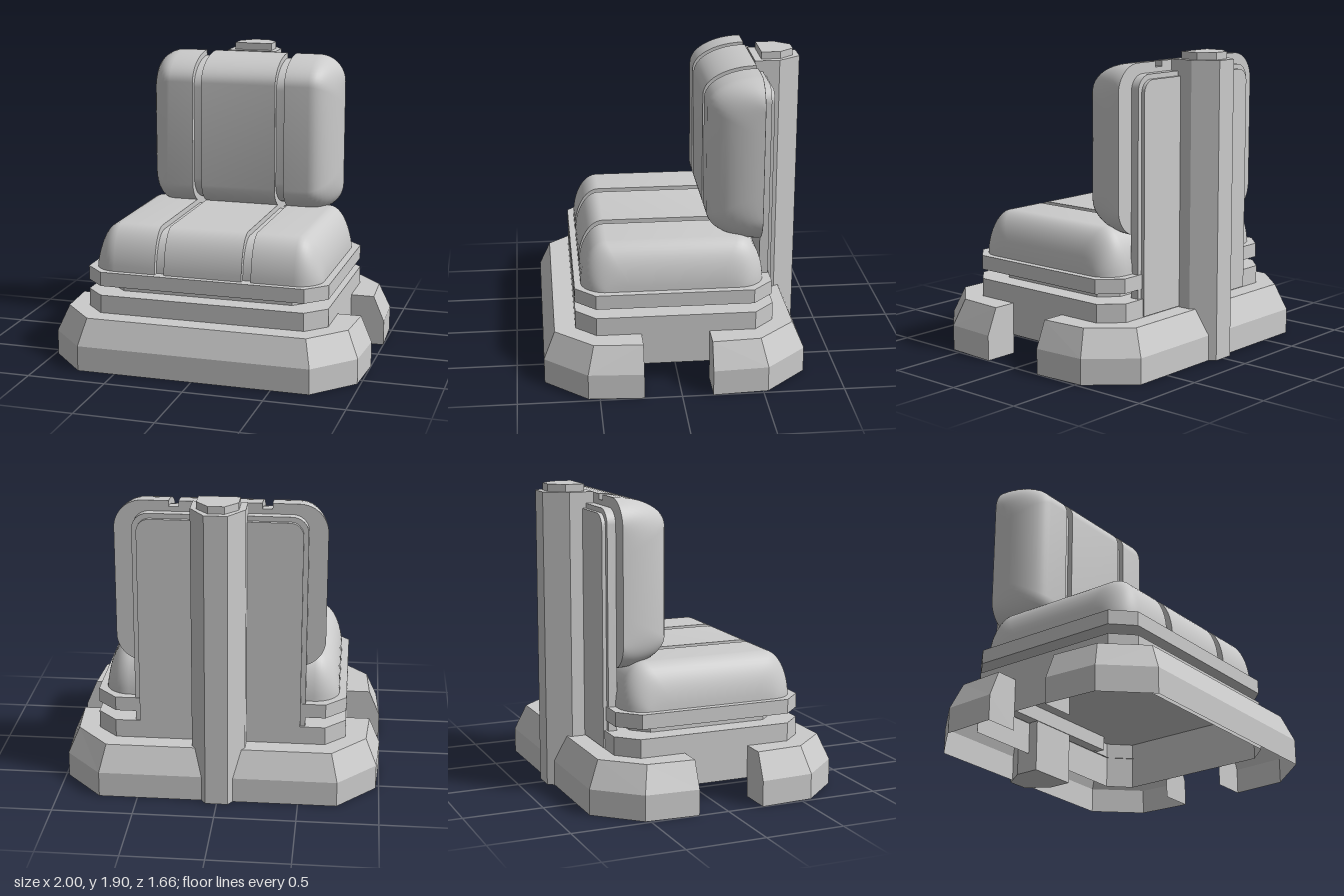
import * as THREE from 'three';
import { toCreasedNormals } from 'three/addons/utils/BufferGeometryUtils.js';

const flat = new THREE.MeshStandardMaterial({ color: 0xcccccc, flatShading: true, side: THREE.DoubleSide });
const smooth = new THREE.MeshStandardMaterial({ color: 0xcccccc, side: THREE.DoubleSide });

function add(group, name, geometry, material = flat) {
  const mesh = new THREE.Mesh(geometry, material);
  mesh.name = name;
  group.add(mesh);
  return mesh;
}

// Upright prism over a plan outline of [x, z] points
function prism(points, y0, y1) {
  const shape = new THREE.Shape(points.map(([x, z]) => new THREE.Vector2(x, -z)));
  const g = new THREE.ExtrudeGeometry(shape, { depth: y1 - y0, bevelEnabled: false });
  return g.rotateX(-Math.PI / 2).translate(0, y0, 0);
}

// Rectangle with cut corners, centred on x
function octagon(w, z0, z1, c) {
  return [[w, z0 + c], [w, z1 - c], [w - c, z1], [c - w, z1], [-w, z1 - c], [-w, z0 + c], [c - w, z0], [w - c, z0]];
}

// Surface through rows of equally many points
function loft(rows) {
  const pos = rows.flat(2), idx = [], n = rows[0].length;
  for (let i = 0; i < rows.length - 1; i++)
    for (let j = 0; j < n - 1; j++) {
      const a = i * n + j, b = a + n;
      idx.push(a, a + 1, b, b, a + 1, b + 1);
    }
  const g = new THREE.BufferGeometry();
  g.setAttribute('position', new THREE.Float32BufferAttribute(pos, 3));
  g.setIndex(idx);
  return g;
}

// Domed pad lofted along x, with two straps of recessed groove
function pad({ w, d, h, rx, rz, corner }) {
  const groove = 0.28, half = 0.03, depth = 0.035, steps = 12;
  const stations = [];
  for (let i = 0; i <= steps; i++) // rounded end
    stations.push([w - rx * (1 - Math.cos((i / steps) * Math.PI / 2)), 0]);
  stations.push([groove + half, 0], [groove + half, depth], [groove - half, depth], [groove - half, 0]);
  const all = [...stations, ...stations.map(([x, s]) => [-x, s]).reverse()];
  const rows = all.map(([x, sink]) => {
    const ax = Math.abs(x);
    const t = Math.min(1, Math.max(0, (ax - (w - rx)) / rx));
    const c = Math.max(0, ax - (w - corner));
    const H = h * Math.sqrt(1 - t * t) - sink;
    const D = d - (corner - Math.sqrt(Math.max(0, corner * corner - c * c))) - sink;
    const row = [];
    for (let k = 0; k <= steps; k++) {
      const a = (k / steps) * Math.PI / 2;
      row.push([x, H * Math.sin(a), D - rz + rz * Math.cos(a)]);
    }
    const back = row.map(([px, y, z]) => [px, y, -z]).reverse();
    return [[x, 0, 0], ...row, ...back, [x, 0, 0]];
  });
  return toCreasedNormals(loft(rows).toNonIndexed(), 0.6);
}

// Bent skirt, open underneath, with closed ends
function skirt() {
  const rings = [
    [0, [[1, 0.23], [0.98, 0.57], [0.74, 0.83]]],
    [0.16, [[1, 0.23], [0.98, 0.57], [0.74, 0.83]]],
    [0.325, [[0.93, 0.23], [0.91, 0.53], [0.7, 0.76]]],
    [0.325, [[0.78, 0.23], [0.78, 0.5], [0.66, 0.63]]],
  ].map(([y, p]) => {
    const left = p.map(([x, z]) => [x, y, z]);
    return [...left, ...left.map(([x, , z]) => [-x, y, z]).reverse()];
  });
  return loft(rings);
}

export function createModel() {
  const model = new THREE.Group();
  model.name = 'seat';

  // Floor skirts, front and rear
  add(model, 'frontSkirt', skirt());
  const rear = add(model, 'rearSkirt', skirt());
  rear.scale.z = -1;
  rear.position.z = 0.04;
  const end = new THREE.Shape([[0.78, 0], [1, 0], [1, 0.16], [0.93, 0.325], [0.78, 0.325]].map(p => new THREE.Vector2(...p)));
  for (const z of [0.23, -0.19])
    for (const side of [1, -1]) {
      const cap = add(model, 'skirtEnd', new THREE.ShapeGeometry(end));
      cap.scale.x = side;
      cap.position.z = z;
    }

  // Hollow base: walls open below, closed by a deck
  const plan = octagon(0.78, -0.6, 0.63, 0.125);
  const loop = [...plan, plan[0]];
  add(model, 'baseWalls', loft([0.12, 0.43].map(y => loop.map(([x, z]) => [x, y, z]))));
  add(model, 'baseDeck', prism(plan, 0.425, 0.44));

  // Neck and seat plate
  add(model, 'neck', prism(octagon(0.65, -0.46, 0.5, 0.1), 0.44, 0.5));
  add(model, 'seatPlate', prism(octagon(0.78, -0.59, 0.63, 0.125), 0.5, 0.59));

  // Cushions
  const seat = add(model, 'seatCushion', pad({ w: 0.735, d: 0.565, h: 0.28, rx: 0.155, rz: 0.16, corner: 0.16 }), smooth);
  seat.position.set(0, 0.59, 0.025);
  const back = add(model, 'backCushion', pad({ w: 0.645, d: 0.518, h: 0.33, rx: 0.175, rz: 0.175, corner: 0.175 }), smooth);
  back.rotation.x = Math.PI / 2;
  back.position.set(0, 1.337, -0.53);

  // Back panel with rounded top corners and a stepped rim
  const panel = (w, y1, r) => {
    const s = new THREE.Shape();
    s.moveTo(-w, 0.33).lineTo(w, 0.33).lineTo(w, y1 - r);
    s.absarc(w - r, y1 - r, r, 0, Math.PI / 2);
    s.absarc(r - w, y1 - r, r, Math.PI / 2, Math.PI);
    return s;
  };
  const layers = [[0.53, 1.79, 0.1, -0.585, 0.055], [0.5, 1.76, 0.08, -0.608, 0.023]];
  for (const [w, y1, r, z, depth] of layers) {
    const g = new THREE.ExtrudeGeometry(panel(w, y1, r), { depth, bevelEnabled: false, curveSegments: 8 });
    add(model, 'backPanel', toCreasedNormals(g.translate(0, 0, z), 0.6), smooth);
  }
  // Back cover of the cushion
  const cover = new THREE.Shape();
  const [w, y0, y1, r] = [0.645, 0.819, 1.855, 0.175];
  cover.absarc(w - r, y0 + r, r, -Math.PI / 2, 0);
  cover.absarc(w - r, y1 - r, r, 0, Math.PI / 2);
  for (const x of [0.28, -0.28]) // strap notches
    cover.lineTo(x + 0.03, y1).lineTo(x + 0.03, y1 - 0.035).lineTo(x - 0.03, y1 - 0.035).lineTo(x - 0.03, y1);
  cover.absarc(r - w, y1 - r, r, Math.PI / 2, Math.PI);
  cover.absarc(r - w, y0 + r, r, Math.PI, Math.PI * 1.5);
  add(model, 'cushionBack', new THREE.ShapeGeometry(cover)).position.z = -0.531;

  // Rear column and its cap
  const post = (a, b, z0, z1, z2) => [[a, z0], [a, z1], [b, z2], [-b, z2], [-a, z1], [-a, z0]];
  add(model, 'column', prism(post(0.165, 0.07, -0.535, -0.69, -0.83), 0, 1.86));
  add(model, 'columnCap', prism(post(0.125, 0.05, -0.58, -0.7, -0.79), 1.86, 1.905));

  return model;
}
